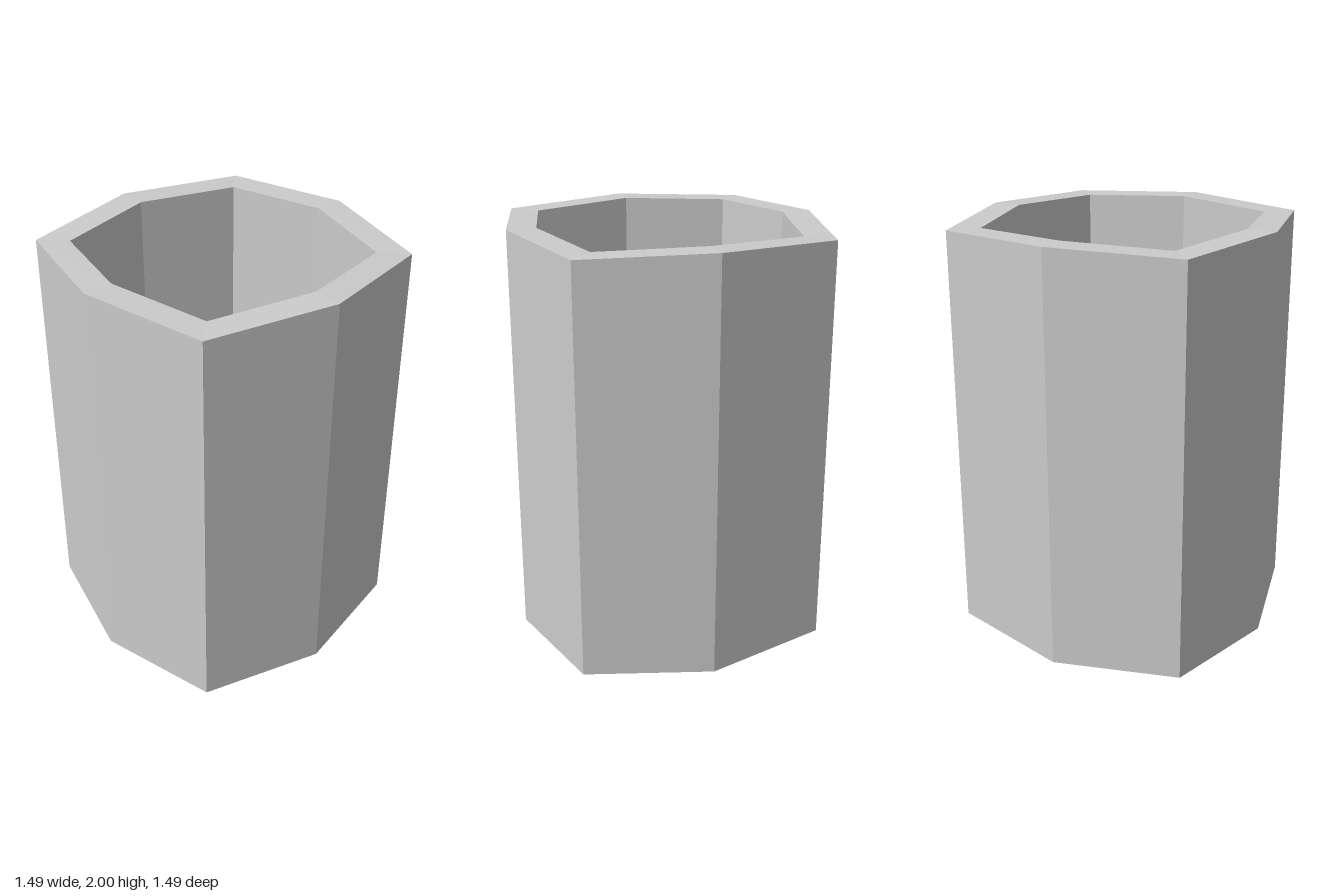
import * as THREE from 'three';

const SIDES = 8;

// Octagonal ring: even points lie on the axes, odd points on the diagonals.
function ring(axisR, cornerXZ, axisY, cornerY) {
  return Array.from({ length: SIDES }, (_, i) => {
    const a = (i * Math.PI * 2) / SIDES;
    const corner = i % 2 === 1;
    const r = corner ? cornerXZ * Math.SQRT2 : axisR;
    return [Math.sin(a) * r, corner ? cornerY : axisY, Math.cos(a) * r];
  });
}

// Flat-shaded band of quads between two rings, facing outward when going up.
function band(lower, upper) {
  const pos = [];
  for (let i = 0; i < SIDES; i++) {
    const j = (i + 1) % SIDES;
    pos.push(...lower[i], ...lower[j], ...upper[j]);
    pos.push(...lower[i], ...upper[j], ...upper[i]);
  }
  return pos;
}

// Fan of triangles closing a ring, facing up or down.
function cap(points, y, up) {
  const pos = [];
  for (let i = 0; i < SIDES; i++) {
    const a = points[i], b = points[(i + 1) % SIDES];
    pos.push(0, y, 0, ...(up ? a : b), ...(up ? b : a));
  }
  return pos;
}

export function createModel() {
  const group = new THREE.Group();
  group.name = 'octagonalCup';
  const material = new THREE.MeshStandardMaterial({ color: 0xcccccc, flatShading: true });

  const add = (name, positions) => {
    const geometry = new THREE.BufferGeometry();
    geometry.setAttribute('position', new THREE.Float32BufferAttribute(positions, 3));
    geometry.computeVertexNormals();
    const mesh = new THREE.Mesh(geometry, material);
    mesh.name = name;
    group.add(mesh);
  };

  // Diagonal corners sit slightly inside the height of the axis points.
  const outerBottom = ring(0.743, 0.598, 0, 0.02);
  const outerTop = ring(0.743, 0.598, 2, 1.983);
  const innerTop = ring(0.604, 0.487, 2, 1.985);
  const innerFloor = ring(0.604, 0.487, 0.15, 0.15);

  add('outerWall', band(outerBottom, outerTop));
  add('rim', band(outerTop, innerTop));
  add('innerWall', band(innerTop, innerFloor));
  add('floor', cap(innerFloor, 0.15, true));
  add('base', cap(outerBottom, 0, false));

  return group;
}
